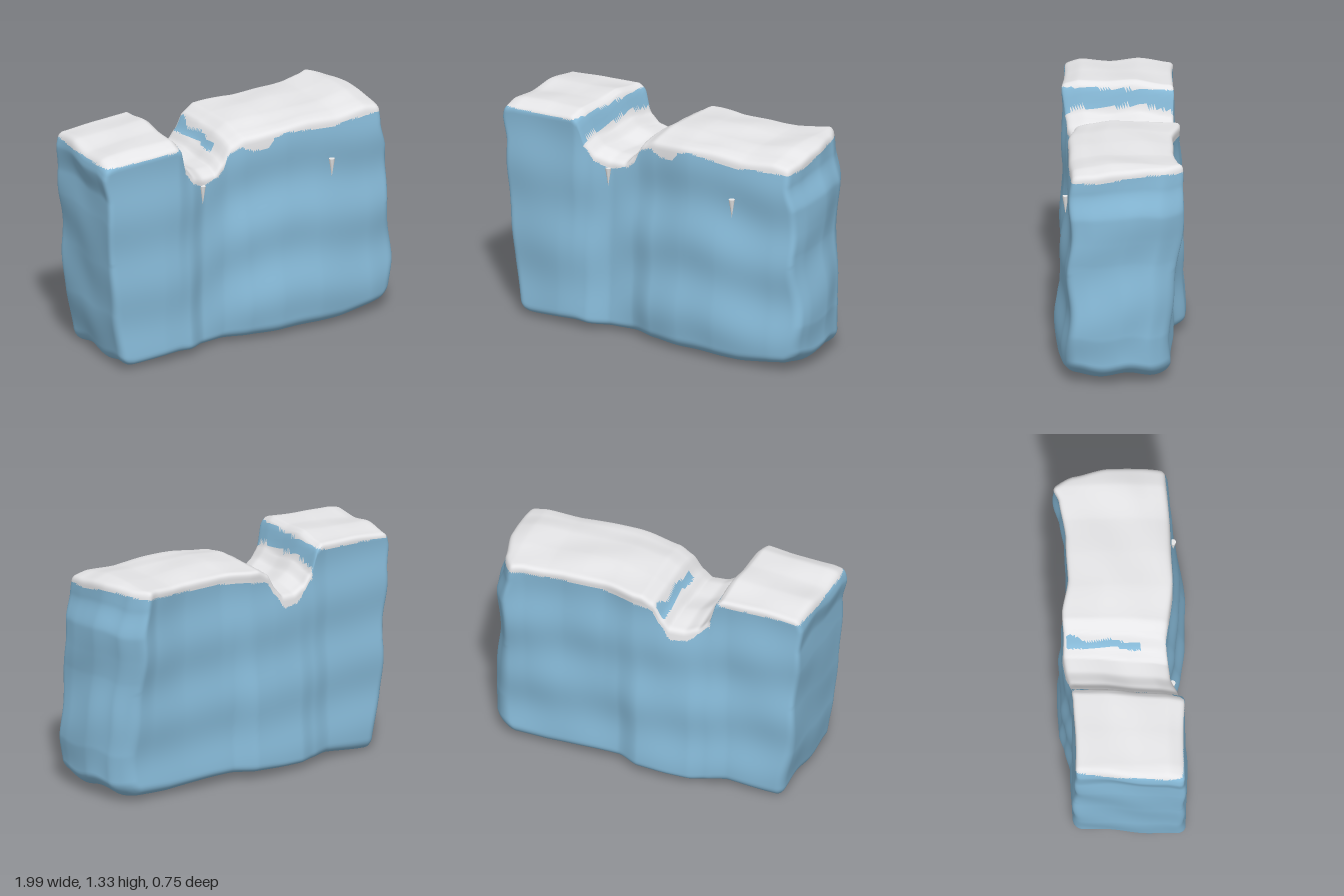
import * as THREE from 'three';
import { mergeVertices } from 'three/addons/utils/BufferGeometryUtils.js';

function paint(name, color) {
  const material = new THREE.MeshStandardMaterial({ color });
  material.name = name;
  return material;
}
const ice = paint('ice blue', 0x87bad8);
const snow = paint('snow white', 0xebebed);
const frost = paint('frost white', 0xffffff);

const { lerp, clamp, smoothstep } = THREE.MathUtils;

// Smooth curve through [position, value] pairs
function curve(points) {
  return (t) => {
    if (t <= points[0][0]) return points[0][1];
    for (let i = 1; i < points.length; i++) {
      const [a, va] = points[i - 1], [b, vb] = points[i];
      if (t <= b) {
        const k = (t - a) / (b - a);
        return lerp(va, vb, 0.5 * k + 0.5 * k * k * (3 - 2 * k));
      }
    }
    return points[points.length - 1][1];
  };
}

// Skyline with the worn notch, and the underside
const topLine = curve([[-1, 1.275], [-0.9, 1.295], [-0.7, 1.31], [-0.5, 1.322], [-0.465, 1.3], [-0.42, 1.16],
  [-0.36, 1.1], [-0.28, 1.07], [-0.19, 1.07], [-0.14, 1.12], [-0.08, 1.21], [0, 1.25], [0.2, 1.268],
  [0.4, 1.272], [0.6, 1.265], [0.8, 1.285], [0.92, 1.265]]);
const baseLine = curve([[-0.9, 0.02], [-0.8, 0.005], [-0.5, 0.035], [-0.3, 0.025], [0.3, 0.025], [0.6, 0.01], [0.95, 0.04]]);

// Rise and fall of the top through its depth, for each block
const tiltRight = curve([[-0.34, -0.005], [-0.1, 0.008], [0.1, 0.002], [0.24, -0.015], [0.33, -0.03]]);
const tiltLeft = curve([[-0.3, -0.015], [-0.12, 0.005], [0.05, -0.012], [0.22, -0.005], [0.33, -0.035]]);

// Outline of the front and back faces, low down and at the top
const frontLow = curve([[-0.95, 0.345], [-0.6, 0.36], [-0.42, 0.345], [-0.3, 0.285], [-0.15, 0.275], [0, 0.325],
  [0.2, 0.36], [0.45, 0.368], [0.8, 0.32], [0.98, 0.28]]);
const frontHigh = curve([[-1, 0.345], [-0.5, 0.352], [-0.4, 0.315], [-0.28, 0.265], [-0.12, 0.25], [0, 0.265],
  [0.25, 0.29], [0.5, 0.288], [0.92, 0.268]]);
const backLow = curve([[-0.9, -0.29], [-0.5, -0.29], [-0.38, -0.325], [-0.28, -0.355], [0.03, -0.355], [0.16, -0.3],
  [0.5, -0.29], [0.8, -0.29]]);
const backHigh = curve([[-0.95, -0.28], [-0.5, -0.28], [-0.4, -0.295], [-0.1, -0.33], [0.06, -0.335], [0.25, -0.3],
  [0.5, -0.3], [0.72, -0.34], [0.83, -0.385]]);

// Outline of the two ends by height, and their bow through the depth
const leftEnd = curve([[0, -0.88], [0.3, -0.925], [0.6, -0.95], [0.9, -0.97], [1.05, -0.97], [1.2, -1], [1.3, -0.98]]);
const rightEnd = curve([[0, 0.94], [0.08, 0.98], [0.25, 0.995], [0.7, 0.955], [0.85, 0.955], [1, 0.96], [1.15, 0.92], [1.3, 0.908]]);
const rightBow = curve([[-0.36, -0.12], [-0.2, -0.04], [0, 0], [0.2, 0], [0.33, -0.012]]);

// Lower edge of the snow on the front and back faces
const snowFront = curve([[-1, 1.25], [-0.75, 1.255], [-0.5, 1.265], [-0.48, 1.275], [-0.435, 1.285],
  [-0.425, 1.11], [-0.36, 1.03], [-0.28, 0.995], [-0.18, 1.02], [-0.14, 1.05], [-0.1, 1.14], [-0.03, 1.17],
  [0.05, 1.14], [0.13, 1.14], [0.18, 1.2], [0.25, 1.215], [0.4, 1.2], [0.55, 1.185], [0.7, 1.2], [0.9, 1.205]]);
const snowBack = curve([[-1, 1.25], [-0.5, 1.27], [-0.48, 1.28], [-0.435, 1.285], [-0.425, 1.11],
  [-0.3, 1.0], [-0.2, 0.99], [-0.13, 1.08], [-0.06, 1.17], [0.1, 1.19], [0.3, 1.21], [0.6, 1.22], [0.9, 1.245]]);

// The notch runs slightly askew
const shear = (x, z) => x + 0.08 * (z - 0.1) * smoothstep(0.6 - Math.abs(x + 0.4), 0, 0.5);

function isSnow(x, y, z) {
  const sx = shear(x, z);
  // Bare strip of ice on the far slope of the notch, wider at the back
  const half = 0.014 + 0.016 * smoothstep(-z, 0.18, 0.3);
  const onStrip = Math.abs(sx + 0.125 + 0.008 * Math.sin(z * 25)) < half && z > -0.31 && z < 0.11;
  return !onStrip && y > lerp(snowBack(sx), snowFront(sx), smoothstep(z, -0.15, 0.15));
}

// Weathered block: a rounded, finely divided box bent to the outlines
function blockGeometry() {
  const W = 2, H = 1.28, D = 0.68;
  let geo = new THREE.BoxGeometry(W, H, D, 160, 96, 44);
  geo.deleteAttribute('normal');
  geo.deleteAttribute('uv');
  geo = mergeVertices(geo);
  const pos = geo.attributes.position;
  const p = new THREE.Vector3(), inner = new THREE.Vector3();
  for (let i = 0; i < pos.count; i++) {
    p.fromBufferAttribute(pos, i);
    // Round the edges, less at the top
    const r = p.y > 0 ? 0.03 : lerp(0.035, 0.06, -p.y / (H / 2));
    inner.set(clamp(p.x, r - W / 2, W / 2 - r), clamp(p.y, r - H / 2, H / 2 - r), clamp(p.z, r - D / 2, D / 2 - r));
    p.sub(inner);
    if (p.lengthSq() > 0) p.setLength(Math.max(Math.abs(p.x), Math.abs(p.y), Math.abs(p.z)));
    p.add(inner);
    const u = p.x / W + 0.5, v = p.y / H + 0.5, w = p.z / D + 0.5;

    const h = v * 1.27, z0 = lerp(-0.34, 0.33, w);
    const left = leftEnd(h) + 0.045 * (1 - w) + 0.01 * Math.sin(h * 11 + w * 5) * (1 - w);
    const right = rightEnd(h) + rightBow(z0) + 0.006 * Math.sin(h * 13 + w * 4);
    const x = lerp(left, right, u);

    // Uneven top and underside
    const side = smoothstep(x, -0.45, 0);
    const top = topLine(shear(x, z0)) + lerp(tiltLeft(z0), tiltRight(z0), side) + 0.004 * Math.sin(z0 * 14 + x * 9);
    const base = baseLine(x) + 0.012 * Math.sin(w * 12 + x * 3) + 0.008;
    const y = lerp(base, top, v);

    // Lumpy front and back, with faint ledges across the wider block
    const k = smoothstep(y, 0.1, 1.25);
    const ledge = lerp(0.006 * Math.cos(14 * (y - 0.93)), 0.011 * Math.cos(14 * (y - 1.12) + 0.5 * Math.sin(x * 6 - 3.3)), side);
    const front = lerp(frontLow(x), frontHigh(x), k) + ledge + 0.004 * Math.sin(x * 11 + y * 5);
    const back = lerp(backLow(x), backHigh(x), k) - 0.007 * Math.cos(15 * (y - 0.93) + x) + 0.004 * Math.sin(x * 13 - y * 6);
    pos.setXYZ(i, x, Math.max(0, y), lerp(back, front, w));
  }

  // Sort triangles into ice and snow
  const faces = [[], []];
  const index = geo.index.array;
  for (let i = 0; i < index.length; i += 3) {
    const tri = [index[i], index[i + 1], index[i + 2]];
    const mean = (get) => tri.reduce((s, j) => s + pos[get](j), 0) / 3;
    faces[isSnow(mean('getX'), mean('getY'), mean('getZ')) ? 1 : 0].push(...tri);
  }
  geo.setIndex(faces[0].concat(faces[1]));
  geo.clearGroups();
  geo.addGroup(0, faces[0].length, 0);
  geo.addGroup(faces[0].length, faces[1].length, 1);
  geo.computeVertexNormals();
  return geo;
}

export function createModel() {
  const model = new THREE.Group();
  model.name = 'snowyIceWall';

  const block = new THREE.Mesh(blockGeometry(), [ice, snow]);
  block.name = 'iceBlock';
  model.add(block);

  // Icicles hanging on the front
  const cone = new THREE.ConeGeometry(0.018, 0.11, 8).rotateX(Math.PI);
  for (const [name, x, z] of [['rightIcicle', -0.305, 0.288], ['leftIcicle', 0.55, 0.308]]) {
    const icicle = new THREE.Mesh(cone, frost);
    icicle.name = name;
    icicle.position.set(x, 0.945, z);
    model.add(icicle);
  }
  return model;
}
